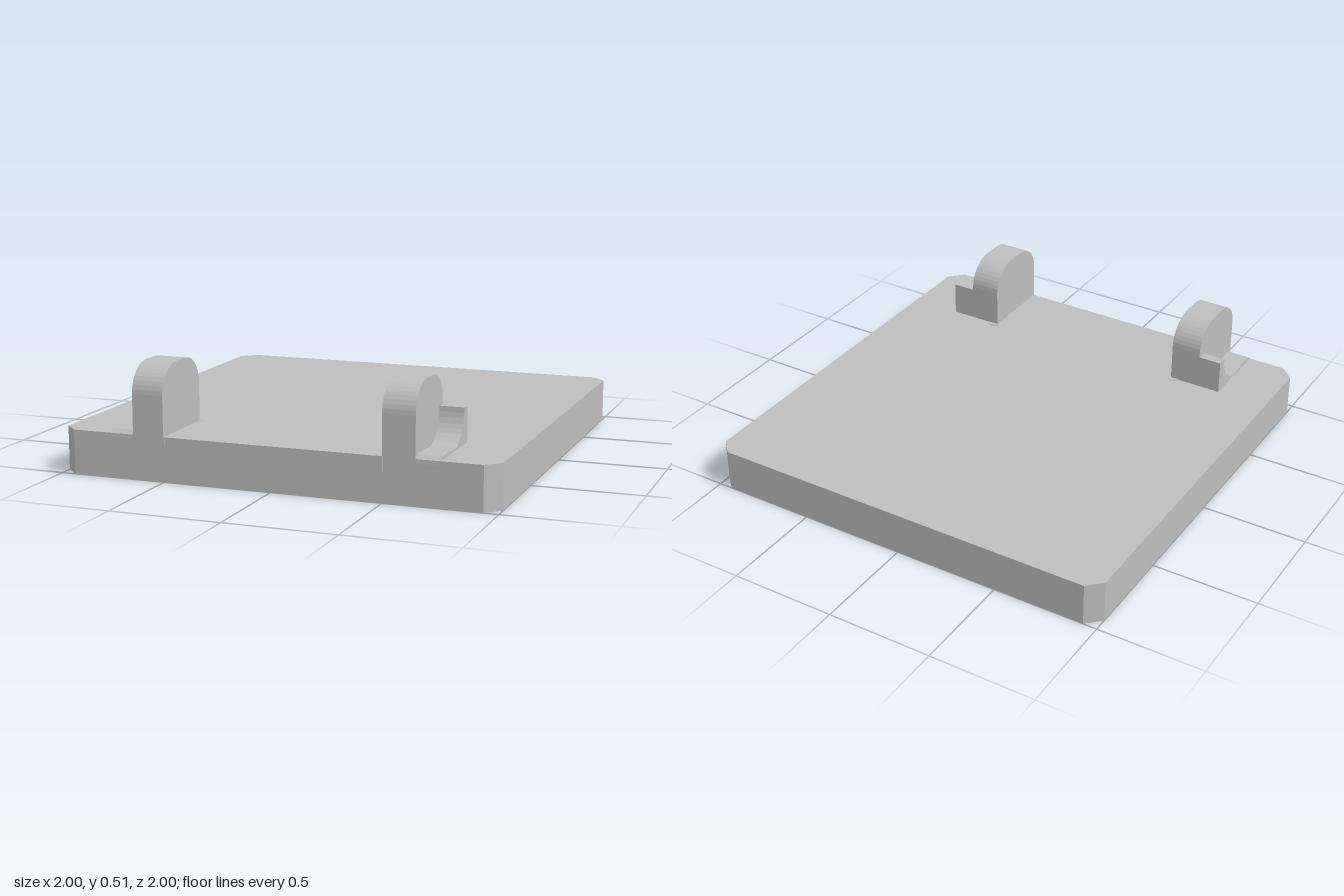
import * as THREE from 'three';

const grey = new THREE.MeshStandardMaterial({ color: 0xbebebe, side: THREE.DoubleSide });
grey.name = 'grey plastic';

// Sheet swept between two matching rows of points, one flat facet per step
function sheet(rowA, rowB) {
  const pos = [];
  for (let i = 0; i < rowA.length - 1; i++) {
    const a = rowA[i], b = rowA[i + 1], c = rowB[i + 1], d = rowB[i];
    pos.push(...a, ...b, ...c, ...a, ...c, ...d);
  }
  const g = new THREE.BufferGeometry();
  g.setAttribute('position', new THREE.Float32BufferAttribute(pos, 3));
  g.computeVertexNormals();
  return g;
}

// Profile of [z, y] points swept along x
const sweepX = (profile, x0, x1) =>
  sheet(profile.map(([z, y]) => [x0, y, z]), profile.map(([z, y]) => [x1, y, z]));

// Flat plate of [z, y] points standing at x
function plateX(profile, x) {
  const shape = new THREE.Shape(profile.map(([z, y]) => new THREE.Vector2(z, y)));
  return new THREE.ShapeGeometry(shape).rotateY(-Math.PI / 2).translate(x, 0, 0);
}

function arc(cz, cy, rz, ry, from, to, steps = 10) {
  return Array.from({ length: steps + 1 }, (_, i) => {
    const t = from + (to - from) * i / steps;
    return [cz + rz * Math.cos(t), cy + ry * Math.sin(t)];
  });
}

function add(group, name, geometry) {
  const mesh = new THREE.Mesh(geometry, grey);
  mesh.name = name;
  group.add(mesh);
}

const TOP = 0.2, LOW = 0.12, BACK = 0.635;
const IN = 0.5, MID = 0.645, OUT = 0.755;

// Hinge lug with its scooped step; s is the side of the model
function createLug(s) {
  const lug = new THREE.Group();
  lug.name = s > 0 ? 'leftHingeLug' : 'rightHingeLug';

  // Rounded hollow lug
  const hump = [
    [1, TOP],
    ...arc(0.86, 0.38, 0.14, 0.13, 0, Math.PI / 2),
    ...arc(0.775, 0.38, 0.14, 0.13, Math.PI / 2, Math.PI),
    [BACK, TOP],
  ];
  add(lug, 'lugShell', sweepX(hump, s * IN, s * MID));
  add(lug, 'lugInnerCheek', plateX([[1, LOW], ...hump.slice(1, -1), [BACK, LOW]], s * IN));
  add(lug, 'lugOuterCheek', plateX(hump, s * MID));

  // Scooped step beside the lug
  const scoop = [
    [BACK, 0.36],
    ...arc(0.82, 0.36, 0.14, 0.15, Math.PI, Math.PI * 1.5),
    [0.9, 0.217], [0.98, 0.217], [1, TOP],
  ];
  add(lug, 'scoop', sweepX([...scoop, [1.001, 0.18]], s * MID, s * OUT));
  add(lug, 'scoopSide', plateX([...scoop, [BACK, TOP]], s * OUT));

  // Back wall reaching down inside the lid
  add(lug, 'backWall', sweepX([[BACK, LOW], [BACK, 0.36]], s * IN, s * OUT));

  // Thin rib showing through the front wall
  const rib = new THREE.BoxGeometry(0.007, TOP - LOW, 1.001 - BACK);
  add(lug, 'rib', rib.translate(s * (IN - 0.002), (TOP + LOW) / 2, (1.001 + BACK) / 2));

  // Round relief at the inner corner
  const relief = new THREE.CylinderGeometry(0.03, 0.03, TOP + 0.002 - LOW, 20);
  add(lug, 'cornerRelief', relief.translate(s * 0.515, (TOP + 0.002 + LOW) / 2, 0.64));
  return lug;
}

export function createModel() {
  const model = new THREE.Group();
  model.name = 'hingedLid';

  // Chamfered skirt, open below
  const c = 0.935;
  const rim = [[c, 1], [1, c], [1, -c], [c, -1], [-c, -1], [-1, -c], [-1, c], [-c, 1]];
  const loop = [...rim, rim[0]];
  add(model, 'skirt', sheet(loop.map(([x, z]) => [x, 0, z]), loop.map(([x, z]) => [x, TOP, z])));

  // Top panel, notched under the lugs
  const notch = [[-OUT, 1], [-OUT, BACK], [-IN, BACK], [-IN, 1], [IN, 1], [IN, BACK], [OUT, BACK], [OUT, 1]];
  const outline = [...rim, ...notch].map(([x, z]) => new THREE.Vector2(x, -z));
  add(model, 'topPanel', new THREE.ShapeGeometry(new THREE.Shape(outline)).rotateX(-Math.PI / 2).translate(0, TOP, 0));

  for (const s of [-1, 1]) model.add(createLug(s));
  return model;
}
